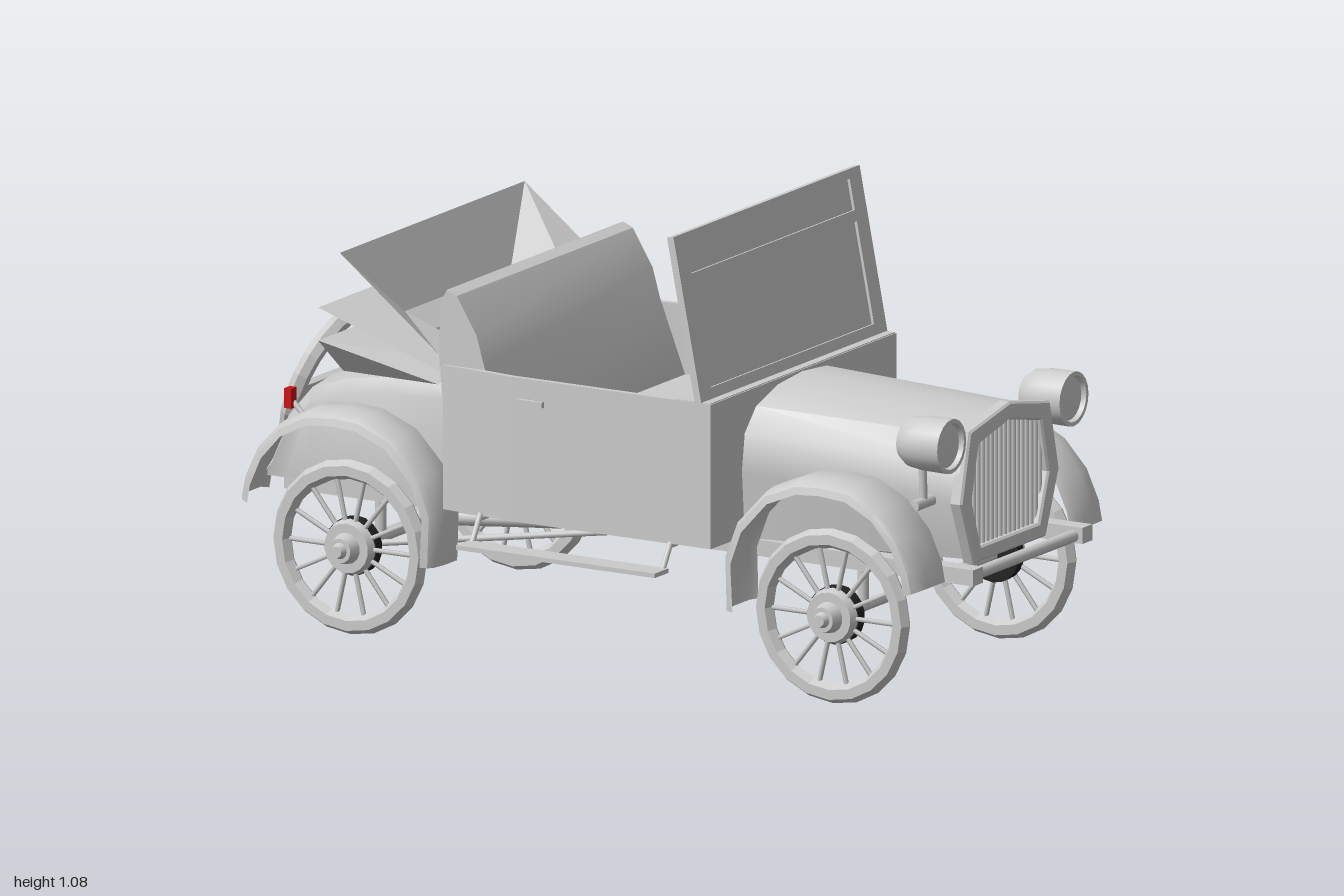
import * as THREE from 'three';
import { toCreasedNormals } from 'three/addons/utils/BufferGeometryUtils.js';

const grey = new THREE.MeshStandardMaterial({ color: 0xcccccc, side: THREE.DoubleSide });
const flat = new THREE.MeshStandardMaterial({ color: 0xcccccc, side: THREE.DoubleSide, flatShading: true });
const dark = new THREE.MeshStandardMaterial({ color: 0x222222 });
const red = new THREE.MeshStandardMaterial({ color: 0xcc1111 });
const V = (x, y, z) => new THREE.Vector3(x, y, z);
const ZC = 0.01; // axle centre line

export function createModel() {
  const car = new THREE.Group();
  car.name = 'openTourer';

  const add = (name, geo, mat = grey, parent = car) => {
    const m = new THREE.Mesh(geo, mat);
    m.name = name;
    parent.add(m);
    return m;
  };
  // box given by its min and max corners
  const box = (name, a, b, mat = grey, parent = car) => {
    const m = add(name, new THREE.BoxGeometry(b[0] - a[0], b[1] - a[1], b[2] - a[2]), mat, parent);
    m.position.set((a[0] + b[0]) / 2, (a[1] + b[1]) / 2, (a[2] + b[2]) / 2);
    return m;
  };
  // round bar between two points
  const rod = (name, a, b, r, mat = grey, parent = car, r2 = r, sides = 10) => {
    const p = V(...a), q = V(...b), d = q.clone().sub(p);
    const m = add(name, new THREE.CylinderGeometry(r2, r, d.length(), sides), mat, parent);
    m.position.copy(p).lerp(q, 0.5);
    m.quaternion.setFromUnitVectors(V(0, 1, 0), d.normalize());
    return m;
  };
  // skin over a list of equally long point rows
  const loft = (name, rows, crease = 0.6) => {
    const n = rows[0].length, index = [];
    for (let i = 0; i < rows.length - 1; i++)
      for (let j = 0; j < n - 1; j++) {
        const a = i * n + j, b = a + n;
        index.push(a, b, a + 1, b, b + 1, a + 1);
      }
    const g = new THREE.BufferGeometry();
    g.setAttribute('position', new THREE.Float32BufferAttribute(rows.flat(2), 3));
    g.setIndex(index);
    return add(name, toCreasedNormals(g, crease), grey);
  };
  const shape = pts => new THREE.Shape(pts.map(p => new THREE.Vector2(p[0], p[1])));
  const mirror = half => [...half, ...half.slice(0, -1).reverse().map(([z, y]) => [-z, y])];

  // wheels
  const wheel = (name, x, side) => {
    const w = new THREE.Group();
    w.name = name;
    w.position.set(x, 0.212, ZC + side * 0.378);
    w.scale.z = side;
    car.add(w);
    add('tyre', new THREE.TorusGeometry(0.188, 0.024, 6, 20), flat, w);
    for (let i = 0; i < 14; i++) {
      const a = (i / 14) * Math.PI * 2, c = Math.cos(a), s = Math.sin(a);
      rod('spoke', [c * 0.04, s * 0.04, 0], [c * 0.17, s * 0.17, 0], 0.006, grey, w, 0.006, 6);
    }
    rod('hubFlange', [0, 0, 0.0], [0, 0, 0.02], 0.068, grey, w, 0.06, 18);
    rod('hub', [0, 0, 0.02], [0, 0, 0.05], 0.038, grey, w, 0.03, 14);
    rod('hubCap', [0, 0, 0.05], [0, 0, 0.065], 0.02, grey, w, 0.014, 12);
    rod('brakeDrum', [0, 0, -0.03], [0, 0, -0.002], 0.07, dark, w, 0.07, 18);
  };
  for (const s of [1, -1]) {
    wheel('frontWheel', 0.685, s);
    wheel('rearWheel', -0.645, s);
  }

  // fenders: an arch path swept with a crowned section and a rolled lip
  const arch = [[0.408, 0.2], [0.405, 0.33], [0.44, 0.42], [0.52, 0.505], [0.61, 0.542], [0.68, 0.547],
    [0.76, 0.54], [0.84, 0.5], [0.9, 0.435], [0.935, 0.36], [0.945, 0.31]];
  const fender = (name, map, inner, s) => loft(name, arch.map(([x, y]) => {
    const dx = 0.68 - x, dy = 0.21 - y, l = Math.hypot(dx, dy);
    return [[inner, 0.012], [inner + 0.02, 0], [0.38, 0], [0.42, 0.006], [0.435, 0.016], [0.44, 0.034]]
      .map(([z, d]) => [map(x + dx / l * d), y + dy / l * d, ZC * 0.5 + s * z]);
  }), 0.7);
  for (const s of [1, -1]) {
    fender('frontFender', x => x, 0.285, s);
    fender('rearFender', x => 0.025 - x * 1.008, 0.305, s);
  }

  // passenger tub: hollow plan extruded upward
  const outer = mirror([[-0.38, 0.405], [-0.18, 0.425], [0.368, 0.422]].map(([x, z]) => [z, x]).concat([[0, 0.368]]));
  const plan = shape(outer.map(([z, x]) => [x, z]));
  plan.holes.push(new THREE.Path(
    [[-0.365, 0.39], [-0.18, 0.41], [0.353, 0.407], [0.353, -0.407], [-0.18, -0.41], [-0.365, -0.39]]
      .map(p => new THREE.Vector2(...p))));
  const tub = add('bodyTub', new THREE.ExtrudeGeometry(plan, { depth: 0.35, bevelEnabled: false }), flat);
  tub.rotation.x = -Math.PI / 2;
  tub.position.y = 0.34;
  box('floor', [-0.37, 0.34, -0.4], [0.36, 0.355, 0.4]);
  box('cowlTop', [0.27, 0.675, -0.42], [0.365, 0.692, 0.42]);
  box('dashboard', [0.268, 0.56, -0.41], [0.285, 0.68, 0.41]);
  for (const s of [1, -1]) {
    rod('handleStem', [-0.115, 0.638, s * 0.42], [-0.115, 0.638, s * 0.448], 0.006);
    box('doorHandle', [-0.15, 0.631, s * 0.446 - 0.005], [-0.08, 0.645, s * 0.446 + 0.005]);
  }

  // seat
  const across = (name, pts, half) => {
    const m = add(name, toCreasedNormals(new THREE.ExtrudeGeometry(shape(pts),
      { depth: half * 2, bevelEnabled: false }), 0.5), grey);
    m.position.z = -half;
    return m;
  };
  across('seatBack', [[-0.36, 0.36], [-0.395, 0.72], [-0.39, 0.84], [-0.372, 0.872], [-0.345, 0.86],
    [-0.29, 0.77], [-0.27, 0.7], [-0.2, 0.52], [-0.2, 0.36]], 0.4);
  across('seatCushion', [[-0.22, 0.355], [-0.22, 0.52], [-0.1, 0.535], [0.04, 0.54], [0.07, 0.52], [0.07, 0.355]], 0.4);

  // windshield with two panes, leaning back
  const screen = new THREE.Group();
  screen.name = 'windshield';
  screen.position.set(0.334, 0.69, 0);
  screen.rotation.z = 0.193;
  car.add(screen);
  const bar = (y0, y1, z0, z1) => box('windshieldFrame', [-0.009, y0, z0], [0.009, y1, z1], grey, screen);
  for (const s of [1, -1]) bar(0, 0.4, s * 0.397 - 0.026, s * 0.397 + 0.026);
  for (const [a, b] of [[0, 0.027], [0.275, 0.302], [0.377, 0.4]]) bar(a, b, -0.372, 0.372);
  for (const [a, b] of [[0.027, 0.275], [0.302, 0.377]])
    box('pane', [-0.002, a, -0.372], [0.002, b, 0.372], grey, screen);

  // bonnet lofted from cowl to radiator
  const rear = mirror([[0.262, 0.335], [0.275, 0.5], [0.262, 0.59], [0.21, 0.645], [0.11, 0.677], [0, 0.686]]);
  const nose = mirror([[0.165, 0.335], [0.215, 0.48], [0.203, 0.57], [0.175, 0.635], [0.09, 0.662], [0, 0.672]]);
  loft('bonnet', [rear.map(([z, y]) => [0.365, y, z + 0.005]), nose.map(([z, y]) => [0.93, y, z + ZC])], 0.7);

  // radiator surround and grille
  const surround = shape(mirror([[0.16, 0.33], [0.218, 0.48], [0.178, 0.645], [0, 0.68]]));
  surround.holes.push(new THREE.Path(mirror([[0.135, 0.358], [0.178, 0.48], [0.145, 0.615], [0, 0.647]])
    .map(p => new THREE.Vector2(...p))));
  const rad = add('radiatorSurround', new THREE.ExtrudeGeometry(surround,
    { depth: 0.025, bevelEnabled: true, bevelSize: 0.005, bevelThickness: 0.005, bevelSegments: 1 }), flat);
  rad.rotation.y = Math.PI / 2;
  rad.position.set(0.915, 0, ZC);
  add('radiatorCore', new THREE.ShapeGeometry(shape(mirror([[0.14, 0.35], [0.19, 0.48], [0.15, 0.625], [0, 0.655]]))))
    .rotation.y = Math.PI / 2;
  car.children.at(-1).position.set(0.915, 0, ZC);
  for (let i = -8; i <= 8; i++) {
    const z = i * 0.02, a = Math.abs(z);
    const y0 = a < 0.135 ? 0.355 : 0.355 + (a - 0.135) * 2.8, y1 = a < 0.145 ? 0.65 - a * 0.22 : 0.618 - (a - 0.145) * 4;
    rod('grilleBar', [0.928, y0, z + ZC], [0.928, y1, z + ZC], 0.006, grey, car, 0.006, 6);
  }

  // headlamps on stalks
  const lampProfile = [[0, 0], [0.045, 0.004], [0.06, 0.025], [0.065, 0.06], [0.066, 0.13], [0.056, 0.13], [0.053, 0.118], [0, 0.124]];
  for (const s of [1, -1]) {
    const lamp = add('headlamp', toCreasedNormals(new THREE.LatheGeometry(
      lampProfile.map(p => new THREE.Vector2(...p)), 20), 0.6));
    lamp.rotation.z = -Math.PI / 2;
    lamp.position.set(0.815, 0.632, s * 0.278);
    rod('lampPost', [0.86, 0.48, s * 0.265], [0.86, 0.58, s * 0.27], 0.01);
    rod('lampBracket', [0.86, 0.483, s * 0.2], [0.86, 0.483, s * 0.31], 0.014);
  }

  // rounded tail
  const tail = [[-0.375, 0.635], [-0.575, 0.628], [-0.7, 0.608], [-0.8, 0.575], [-0.865, 0.5], [-0.9, 0.42], [-0.925, 0.34]];
  loft('tail', tail.map(([x, y]) => mirror([[0.31, 0.34], [0.315, Math.max(0.34, y - 0.05)],
    [0.295, Math.max(0.34, y - 0.012)], [0.2, y], [0, y]]).map(([z, h]) => [x, h, z + ZC])), 0.7);
  box('tailFloor', [-0.92, 0.338, -0.3], [-0.37, 0.345, 0.32]);

  // folded hood: pleats zigzag between wide and narrow bows
  const bows = [[-0.655, 0.93, 0.42, 0.72], [-0.585, 0.76, 0.24, 0.69], [-0.715, 0.79, 0.42, 0.68],
    [-0.585, 0.69, 0.24, 0.66], [-0.715, 0.71, 0.42, 0.645], [-0.7, 0.62, 0.33, 0.62]];
  loft('foldedHood', bows.map(([x, y, w, p]) =>
    [[-0.385, p, -w], [x, y, -w], [x, y, w], [-0.385, p, w]]), 0.05);

  // spare wheel strapped to the tail
  const spare = new THREE.Group();
  spare.name = 'spareWheel';
  spare.position.set(-0.915, 0.51, ZC);
  spare.rotation.z = -0.36;
  car.add(spare);
  add('spareTyre', new THREE.TorusGeometry(0.186, 0.022, 6, 24), flat, spare).rotation.y = Math.PI / 2;
  box('spareStrap', [-0.006, -0.022, -0.18], [0.012, 0.022, 0.18], grey, spare);
  rod('spareMount', [0, 0, 0], [0.07, 0, 0], 0.02, grey, spare);

  // tail lamps
  for (const s of [1, -1]) {
    box('tailLamp', [-0.825, 0.527, ZC * 0.5 + s * 0.375 - 0.013], [-0.806, 0.575, ZC * 0.5 + s * 0.375 + 0.013], red);
    rod('tailLampStem', [-0.81, 0.54, s * 0.375], [-0.77, 0.5, s * 0.375], 0.007);
  }

  // steering wheel, column and gear lever
  const helm = new THREE.Group();
  helm.name = 'steeringWheel';
  helm.position.set(0.083, 0.825, -0.2);
  helm.rotation.z = 0.56;
  car.add(helm);
  add('steeringRim', new THREE.TorusGeometry(0.08, 0.006, 6, 24), grey, helm).rotation.x = Math.PI / 2;
  rod('steeringSpoke', [-0.08, 0, 0], [0.08, 0, 0], 0.005, grey, helm);
  rod('steeringSpoke', [0, 0, -0.08], [0, 0, 0.08], 0.005, grey, helm);
  rod('steeringColumn', [0.083, 0.825, -0.2], [0.31, 0.46, -0.2], 0.009);
  rod('gearLever', [0.07, 0.78, -0.06], [0.18, 0.36, 0], 0.006, dark);
  add('gearKnob', new THREE.SphereGeometry(0.017, 12, 8), dark).position.set(0.07, 0.78, -0.06);
  box('gearGate', [0.11, 0.35, -0.04], [0.25, 0.365, 0.05], dark);

  // running boards hung on bent brackets
  for (const s of [1, -1]) {
    box('runningBoard', [-0.28, 0.276, s * 0.48 - 0.031], [0.268, 0.287, s * 0.48 + 0.031]);
    for (const x of [-0.27, 0.255]) {
      rod('boardBracket', [x, 0.345, s * 0.415], [x, 0.28, s * 0.455], 0.007);
      rod('boardStay', [x, 0.335, s * 0.25], [x, 0.335, s * 0.42], 0.007);
    }
    // chassis rail
    box('chassisRail', [-0.9, 0.298, s * 0.248 - 0.023], [1.0, 0.337, s * 0.248 + 0.023]);
  }

  // chassis cross members, axles and drive line
  rod('frontCrossBar', [0.975, 0.315, -0.27], [0.975, 0.315, 0.27], 0.015);
  for (const x of [0.4, -0.3, -0.88]) box('crossMember', [x - 0.015, 0.3, -0.25], [x + 0.015, 0.33, 0.25]);
  box('gearboxSump', [0.3, 0.262, -0.09], [0.6, 0.34, 0.11]);
  rod('frontAxle', [0.685, 0.207, ZC - 0.37], [0.685, 0.207, ZC + 0.37], 0.013);
  rod('rearAxle', [-0.645, 0.21, ZC - 0.37], [-0.645, 0.21, ZC + 0.37], 0.016);
  add('differential', new THREE.SphereGeometry(0.053, 6, 4), flat).position.set(-0.645, 0.208, ZC);
  rod('torqueTube', [-0.62, 0.21, ZC], [0.3, 0.295, ZC], 0.02, grey, car, 0.014);
  for (const s of [1, -1]) {
    rod('radiusRod', [-0.63, 0.21, ZC + s * 0.32], [0.1, 0.28, ZC + s * 0.03], 0.008);
    rod('axleHanger', [0.685, 0.207, s * 0.25], [0.685, 0.31, s * 0.25], 0.014);
    rod('axleHanger', [-0.645, 0.21, s * 0.25], [-0.645, 0.31, s * 0.25], 0.014);
  }
  return car;
}
